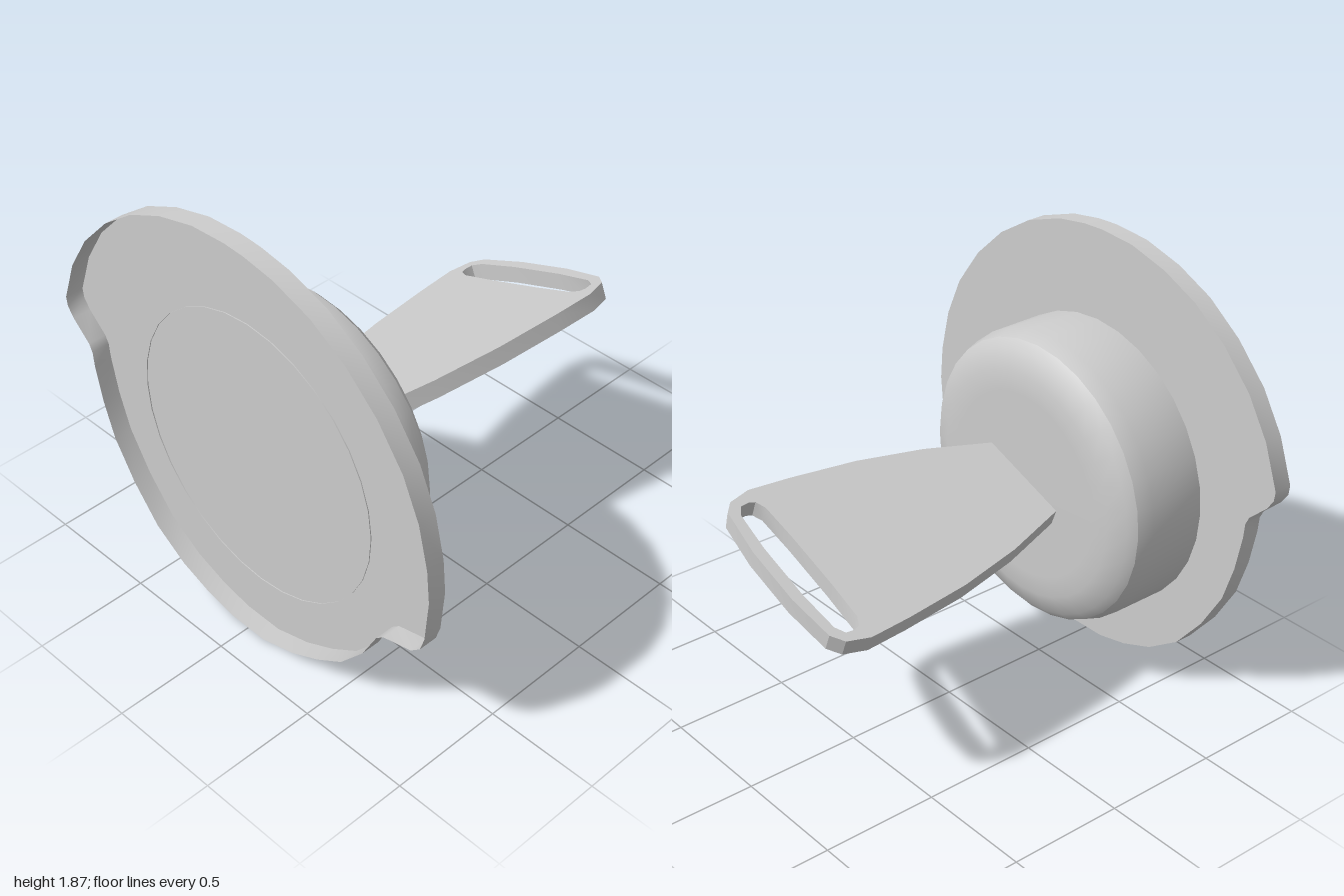
import * as THREE from 'three';
import { toCreasedNormals } from 'three/addons/utils/BufferGeometryUtils.js';

const toPoints = (pairs) => pairs.map(([x, y]) => new THREE.Vector2(x, y));
// Mirror a half outline across y = 0 into a closed loop
const mirrorY = (half) => [...half, ...half.slice().reverse().map(([x, y]) => [x, -y])];

// Open band following a closed counter-clockwise outline, from z = 0 to z = depth
function bandGeometry(outline, depth) {
  const positions = [];
  const index = [];
  outline.forEach(([x, y], i) => {
    positions.push(x, y, 0, x, y, depth);
    const a = 2 * i;
    const b = 2 * ((i + 1) % outline.length);
    index.push(a, b, b + 1, a, b + 1, a + 1);
  });
  const geometry = new THREE.BufferGeometry();
  geometry.setAttribute('position', new THREE.Float32BufferAttribute(positions, 3));
  geometry.setIndex(index);
  return geometry;
}

export function createModel() {
  const model = new THREE.Group();
  const grey = new THREE.MeshStandardMaterial({ color: 0xcccccc, side: THREE.DoubleSide });
  grey.name = 'plain grey';

  const add = (name, geometry) => {
    const mesh = new THREE.Mesh(toCreasedNormals(geometry, 0.5), grey);
    mesh.name = name;
    model.add(mesh);
    return mesh;
  };

  // Flange: cam-shaped plate with a step on each side, hollow behind, with a thin rim wall
  const flangeOutline = [
    [-0.09, 0.0], [0.09, 0.003], [0.235, 0.035], [0.386, 0.094], [0.541, 0.2], [0.67, 0.356],
    [0.772, 0.528], [0.825, 0.69], [0.857, 0.85], [0.863, 0.915], [0.88, 0.95], [0.965, 1.03],
    [0.995, 1.075], [1.0, 1.117], [0.932, 1.302], [0.83, 1.466], [0.686, 1.616], [0.525, 1.732],
    [0.354, 1.808], [0.171, 1.855], [0, 1.865], [-0.1, 1.859], [-0.247, 1.834], [-0.43, 1.769],
    [-0.6, 1.662], [-0.75, 1.52], [-0.873, 1.348], [-0.949, 1.171], [-0.99, 0.983], [-1.0, 0.835],
    [-0.98, 0.645], [-0.958, 0.58], [-0.911, 0.54], [-0.772, 0.506], [-0.735, 0.475],
    [-0.66, 0.34], [-0.541, 0.206], [-0.407, 0.12], [-0.263, 0.05],
  ];
  const flangeDepth = 0.081;
  const plate = new THREE.ShapeGeometry(new THREE.Shape(toPoints(flangeOutline)));
  plate.translate(0, 0, flangeDepth);
  plate.rotateY(Math.PI / 2);
  add('flangePlate', plate).position.x = -0.857;
  const rim = bandGeometry(flangeOutline, flangeDepth);
  rim.rotateY(Math.PI / 2);
  add('flangeRim', rim).position.x = -0.857;

  // Hub: round drum with a softened outer rim and flat face
  const hub = new THREE.LatheGeometry(toPoints([
    [0.628, 0], [0.628, 0.26], [0.608, 0.325], [0.575, 0.355], [0.49, 0.385], [0.4, 0.386], [0, 0.386],
  ]), 32);
  hub.rotateZ(-Math.PI / 2);
  add('hub', hub).position.set(-0.78, 0.849, 0.004);

  // Handle: flared tilted blade with a slot near the tip, rising slightly away from the hub
  const blade = new THREE.Shape(toPoints(mirrorY([
    [-0.43, -0.202], [-0.1, -0.303], [0.2, -0.364], [0.5, -0.398], [0.69, -0.412],
    [0.79, -0.386], [0.83, -0.335], [0.855, -0.13],
  ])));
  blade.holes.push(new THREE.Path(toPoints(mirrorY([
    [0.674, -0.13], [0.68, -0.305], [0.7, -0.345], [0.725, -0.354], [0.765, -0.35],
    [0.79, -0.31], [0.805, -0.13],
  ]))));
  const handle = new THREE.ExtrudeGeometry(blade, { depth: 0.074, bevelEnabled: false });
  handle.translate(0, 0, -0.037);
  handle.rotateY(THREE.MathUtils.degToRad(1.1));
  handle.rotateX(THREE.MathUtils.degToRad(70));
  add('handle', handle).position.set(0, 0.861, 0.013);

  return model;
}
